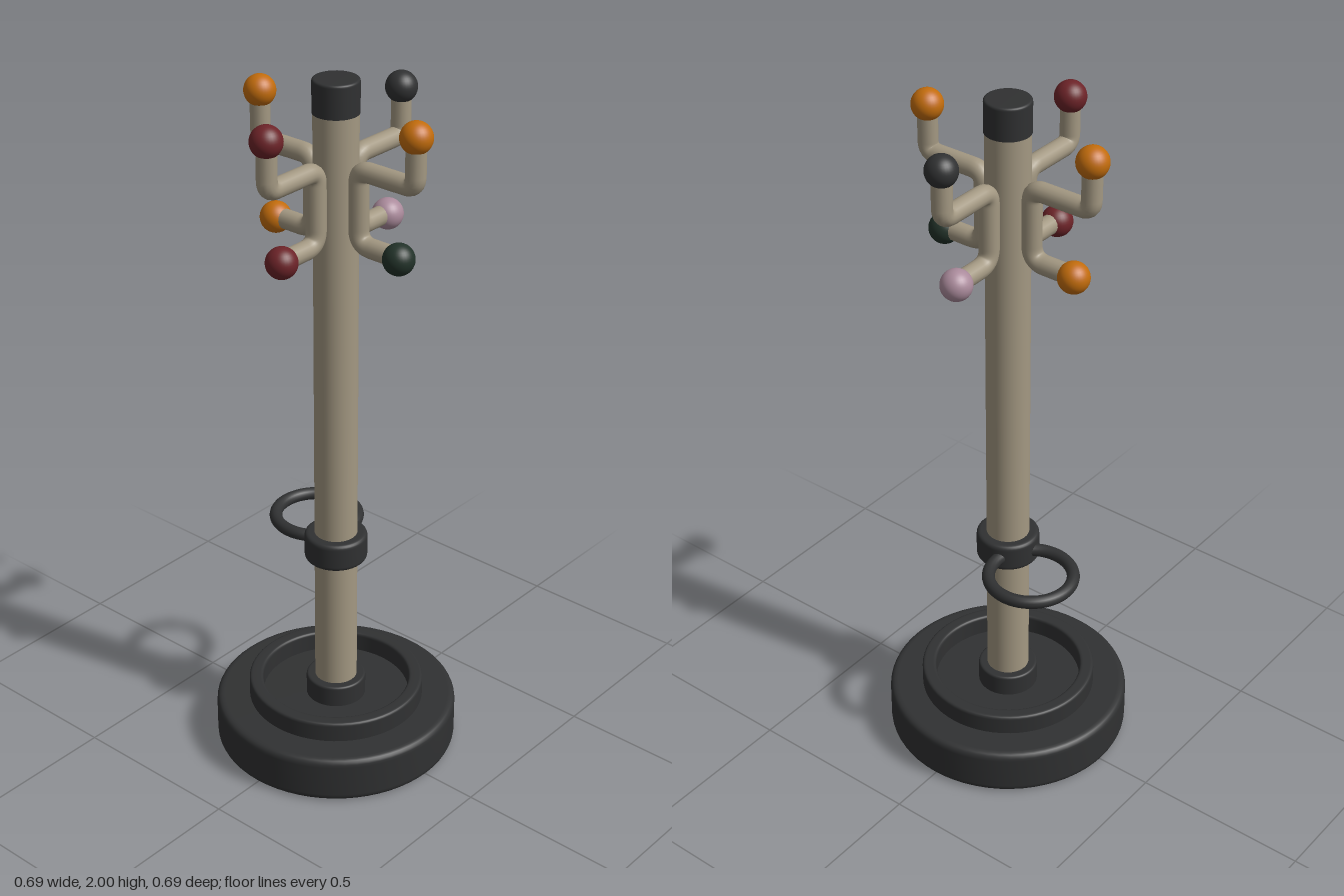
import * as THREE from 'three';

const mat = (name, color) => {
  const m = new THREE.MeshStandardMaterial({ color });
  m.name = name;
  return m;
};

// Solid of revolution from [radius, y, bevel] corners; bevelled corners are rounded
function lathe(corners, segments = 64) {
  const pts = [];
  corners.forEach(([r, y, b], i) => {
    const p = new THREE.Vector2(r, y);
    if (!b) { pts.push(p, p.clone()); return; }
    const toward = ([qr, qy]) => new THREE.Vector2(qr, qy).sub(p).setLength(b).add(p);
    const curve = new THREE.QuadraticBezierCurve(toward(corners[i - 1]), p, toward(corners[i + 1]));
    pts.push(...curve.getPoints(5));
  });
  return new THREE.LatheGeometry(pts, segments);
}

// Path through corner points with rounded bends
function bentPath(points, radii) {
  const path = new THREE.CurvePath();
  let last = points[0];
  for (let i = 1; i < points.length - 1; i++) {
    const p = points[i];
    const a = points[i - 1].clone().sub(p).setLength(radii[i - 1]).add(p);
    const b = points[i + 1].clone().sub(p).setLength(radii[i - 1]).add(p);
    path.add(new THREE.LineCurve3(last, a));
    path.add(new THREE.QuadraticBezierCurve3(a, p, b));
    last = b;
  }
  path.add(new THREE.LineCurve3(last, points[points.length - 1]));
  return path;
}

export function createModel() {
  const model = new THREE.Group();
  model.name = 'coatStand';
  const black = mat('black', 0x303132);
  const beige = mat('beige', 0xa39882);
  const orange = mat('orange', 0xc26c0c);
  const red = mat('darkRed', 0x6c2328);
  const green = mat('darkGreen', 0x223229);
  const pink = mat('pink', 0xab8b9c);

  const add = (name, geometry, material, parent = model) => {
    const mesh = new THREE.Mesh(geometry, material);
    mesh.name = name;
    parent.add(mesh);
    return mesh;
  };

  // Weighted base with a raised rim and a socket for the pole
  add('base', lathe([[0, 0], [0.345, 0, 0.022], [0.345, 0.137, 0.022], [0, 0.137]]), black);
  add('baseRim', lathe([
    [0.21, 0.125], [0.25, 0.125], [0.25, 0.195, 0.01], [0.21, 0.195, 0.01], [0.21, 0.125],
  ]), black);
  add('poleSocket', lathe([[0.085, 0.125], [0.085, 0.2, 0.008], [0, 0.2]], 48), black);

  // Pole and top cap
  add('pole', new THREE.CylinderGeometry(0.06, 0.06, 1.8, 48).translate(0, 1.03, 0), beige);
  add('topCap', lathe([[0, 1.91], [0.062, 1.91], [0.062, 2, 0.008], [0, 2]], 48), black);

  // Umbrella holder: clamp around the pole and a ring behind it
  add('clamp', lathe([
    [0.058, 0.595], [0.088, 0.595, 0.014], [0.088, 0.677, 0.014], [0.058, 0.677],
  ], 48), black);
  const ring = add('umbrellaRing', new THREE.TorusGeometry(0.117, 0.018, 16, 64), black);
  ring.rotation.x = Math.PI / 2;
  ring.position.set(-0.146, 0.635, -0.085);

  // Four double hooks, each one bent tube with a ball at both ends
  const v = (x, y) => new THREE.Vector3(x, y, 0);
  const path = bentPath(
    [v(0.26, 1.9), v(0.26, 1.775), v(0.077, 1.775), v(0.077, 1.57), v(0.21, 1.57)],
    [0.03, 0.035, 0.045]);
  const tube = new THREE.TubeGeometry(path, 96, 0.027, 16);
  const ball = new THREE.SphereGeometry(0.043, 32, 20);
  const hooks = [
    ['left', 0, orange, green],
    ['back', Math.PI / 2, black, pink],
    ['right', Math.PI, orange, orange],
    ['front', -Math.PI / 2, red, red],
  ];
  for (const [side, angle, upper, lower] of hooks) {
    const hook = new THREE.Group();
    hook.name = side + 'Hook';
    hook.rotation.y = angle;
    add(side + 'HookTube', tube, beige, hook);
    add(side + 'UpperBall', ball, upper, hook).position.set(0.26, 1.907, 0);
    add(side + 'LowerBall', ball, lower, hook).position.set(0.21, 1.567, 0);
    model.add(hook);
  }
  return model;
}
